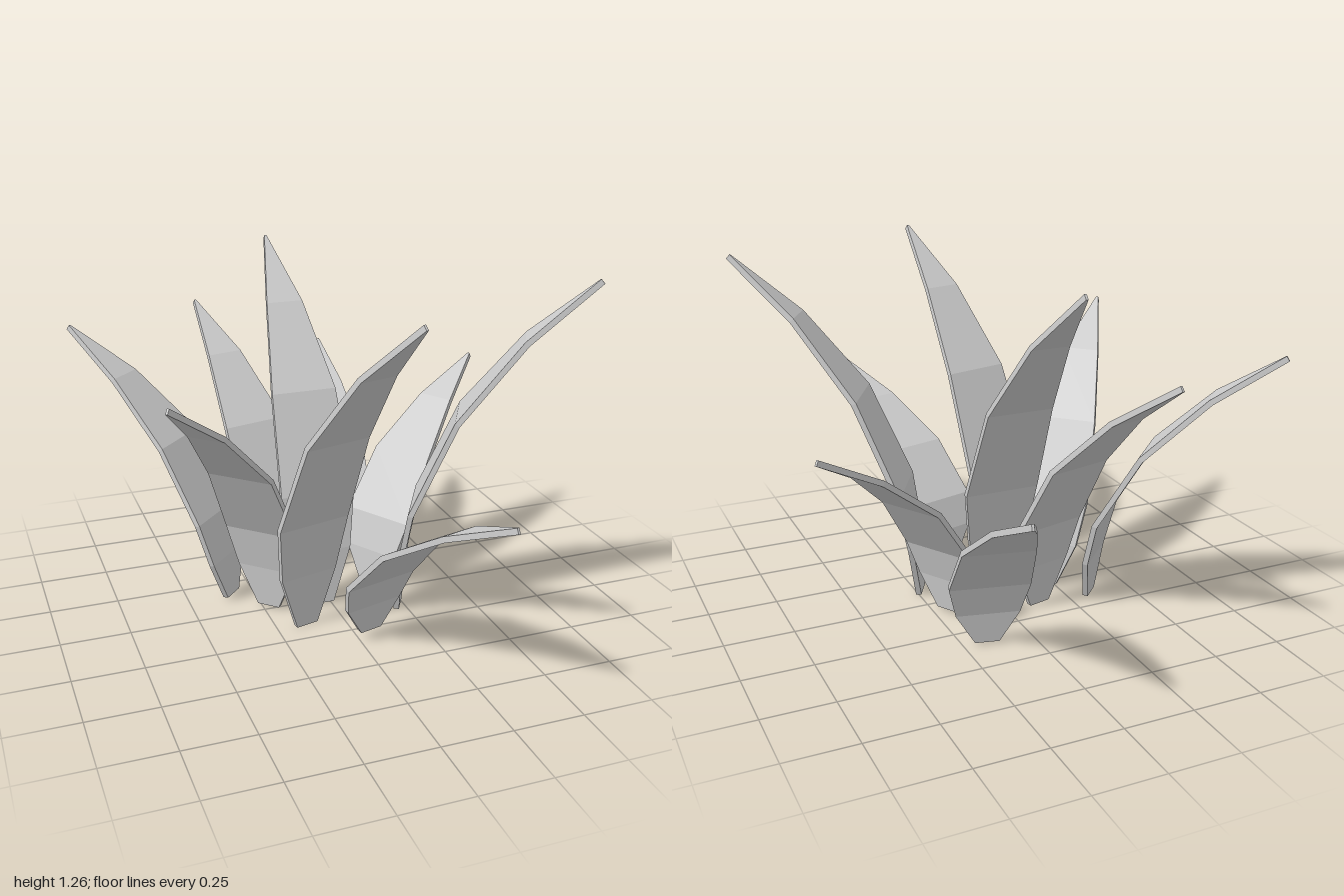
import * as THREE from 'three';

// Leaf rings from base to tip: [share of reach, share of height, half width]
const RINGS = [
  [0, 0, 0.043],
  [0.022, 0.165, 0.112],
  [0.08, 0.335, 0.14],
  [0.31, 0.61, 0.122],
  [0.645, 0.835, 0.069],
  [1, 1, 0.004],
];
const THICKNESS = 0.02;

// One flat, outward-curving blade between a base point and a tip point
function leafGeometry(base, tip) {
  const b = new THREE.Vector3(...base);
  const span = new THREE.Vector3(...tip).sub(b);
  const out = new THREE.Vector3(span.x, 0, span.z);
  const side = new THREE.Vector3(span.z, 0, -span.x).normalize();
  const spine = RINGS.map(([r, h]) =>
    b.clone().addScaledVector(out, r).add(new THREE.Vector3(0, span.y * h, 0)));

  const pos = [];
  const index = [];
  spine.forEach((p, i) => {
    const along = spine[Math.min(i + 1, spine.length - 1)].clone()
      .sub(spine[Math.max(i - 1, 0)]).normalize();
    const normal = new THREE.Vector3().crossVectors(side, along).normalize();
    // four corners of the rectangular cross-section
    for (const [s, n] of [[-1, -1], [1, -1], [1, 1], [-1, 1]]) {
      const v = p.clone().addScaledVector(side, s * RINGS[i][2])
        .addScaledVector(normal, n * THICKNESS / 2);
      pos.push(v.x, v.y, v.z);
    }
  });
  for (let i = 0; i < spine.length - 1; i++) {
    for (let k = 0; k < 4; k++) {
      const a = i * 4 + k, c = i * 4 + (k + 1) % 4;
      index.push(a, c + 4, c, a, a + 4, c + 4);
    }
  }
  // end caps
  const e = (spine.length - 1) * 4;
  index.push(0, 1, 2, 0, 2, 3, e, e + 2, e + 1, e, e + 3, e + 2);

  const g = new THREE.BufferGeometry();
  g.setAttribute('position', new THREE.Float32BufferAttribute(pos, 3));
  g.setIndex(index);
  g.computeVertexNormals();
  return g;
}

export function createModel() {
  const group = new THREE.Group();
  group.name = 'spikyPlant';
  const material = new THREE.MeshStandardMaterial({ color: 0xcccccc, flatShading: true });

  // [name, base, tip]: three tall, three medium and three short leaves
  const leaves = [
    ['tallLeafBack', [-0.03, 0.003, 0.017], [-0.03, 1.257, -0.635]],
    ['tallLeafLeft', [0.23, 0.003, 0.125], [0.797, 1.255, 0.447]],
    ['tallLeafFront', [-0.14, 0.003, 0.15], [0.013, 1.257, 0.775]],
    ['mediumLeafFrontRight', [-0.225, 0.01, -0.02], [-0.67, 0.975, 0.437]],
    ['mediumLeafBackRight', [-0.335, 0.01, -0.155], [-0.805, 0.975, -0.617]],
    ['mediumLeafBack', [-0.125, 0.01, -0.155], [-0.28, 0.985, -0.793]],
    ['shortLeafBack', [0.165, 0.01, -0.345], [0.31, 0.715, -0.987]],
    ['shortLeafLeft', [0.195, 0.01, -0.07], [0.75, 0.77, -0.4]],
    ['shortLeafFront', [0.045, 0.03, 0.305], [0.23, 0.682, 0.987]],
  ];
  for (const [name, base, tip] of leaves) {
    const leaf = new THREE.Mesh(leafGeometry(base, tip), material);
    leaf.name = name;
    group.add(leaf);
  }
  return group;
}
